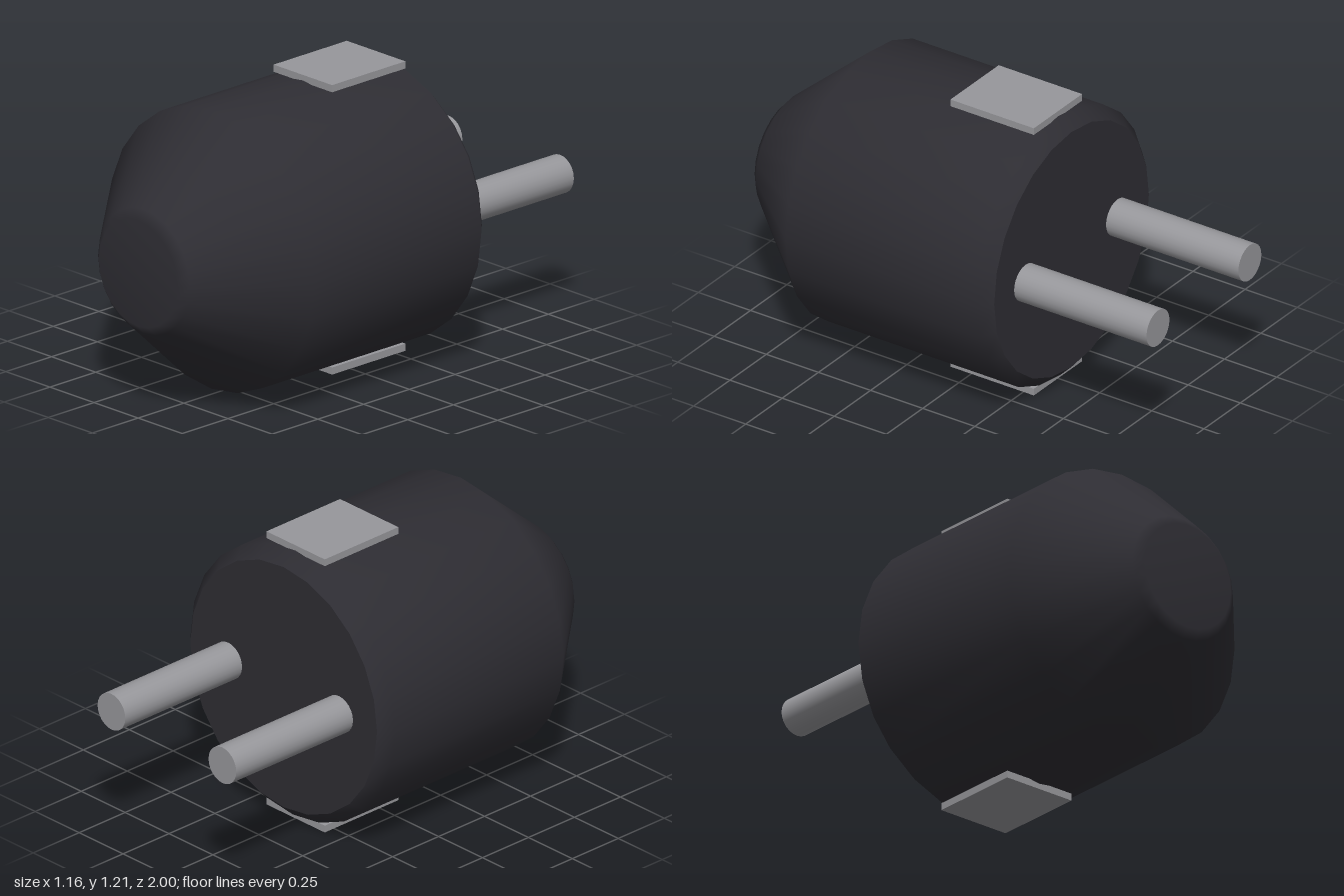
import * as THREE from 'three';

const CENTER_Y = 0.605;
const SIDES = 24;

export function createModel() {
  const model = new THREE.Group();
  model.name = 'powerPlug';

  const plastic = new THREE.MeshStandardMaterial({ color: 0x2e2d33 });
  plastic.name = 'dark plastic';
  const metal = new THREE.MeshStandardMaterial({ color: 0x97979b });
  metal.name = 'grey metal';

  const add = (name, geometry, material, x, y, z) => {
    const mesh = new THREE.Mesh(geometry, material);
    mesh.name = name;
    mesh.position.set(x, y, z);
    model.add(mesh);
    return mesh;
  };

  // Body: profile as [radius, z], from the chamfered back to the blunt nose
  const profile = [
    [0.532, -0.365], [0.582, -0.315], [0.582, 0.6],
    [0.26, 0.968], [0.222, 1], [0, 1],
  ].map(([r, z]) => new THREE.Vector2(r, z));
  const shell = new THREE.LatheGeometry(profile, SIDES).rotateX(Math.PI / 2);
  add('body', shell, plastic, 0, CENTER_Y, 0);

  // Flat back face that carries the pins
  const back = new THREE.CircleGeometry(0.532, SIDES).rotateY(Math.PI);
  add('backFace', back, plastic, 0, CENTER_Y, -0.365);

  // Two round contact pins
  for (const side of [1, -1]) {
    const pin = new THREE.CylinderGeometry(0.079, 0.079, 0.64, 24).rotateX(Math.PI / 2);
    add(side > 0 ? 'leftPin' : 'rightPin', pin, metal, side * 0.316, CENTER_Y, -0.68);
  }

  // Grounding plates above and below
  for (const side of [1, -1]) {
    const plate = new THREE.BoxGeometry(0.332, 0.03, 0.4);
    add(side > 0 ? 'topContact' : 'bottomContact', plate, metal, 0, CENTER_Y + side * 0.59, -0.1);
  }

  return model;
}
